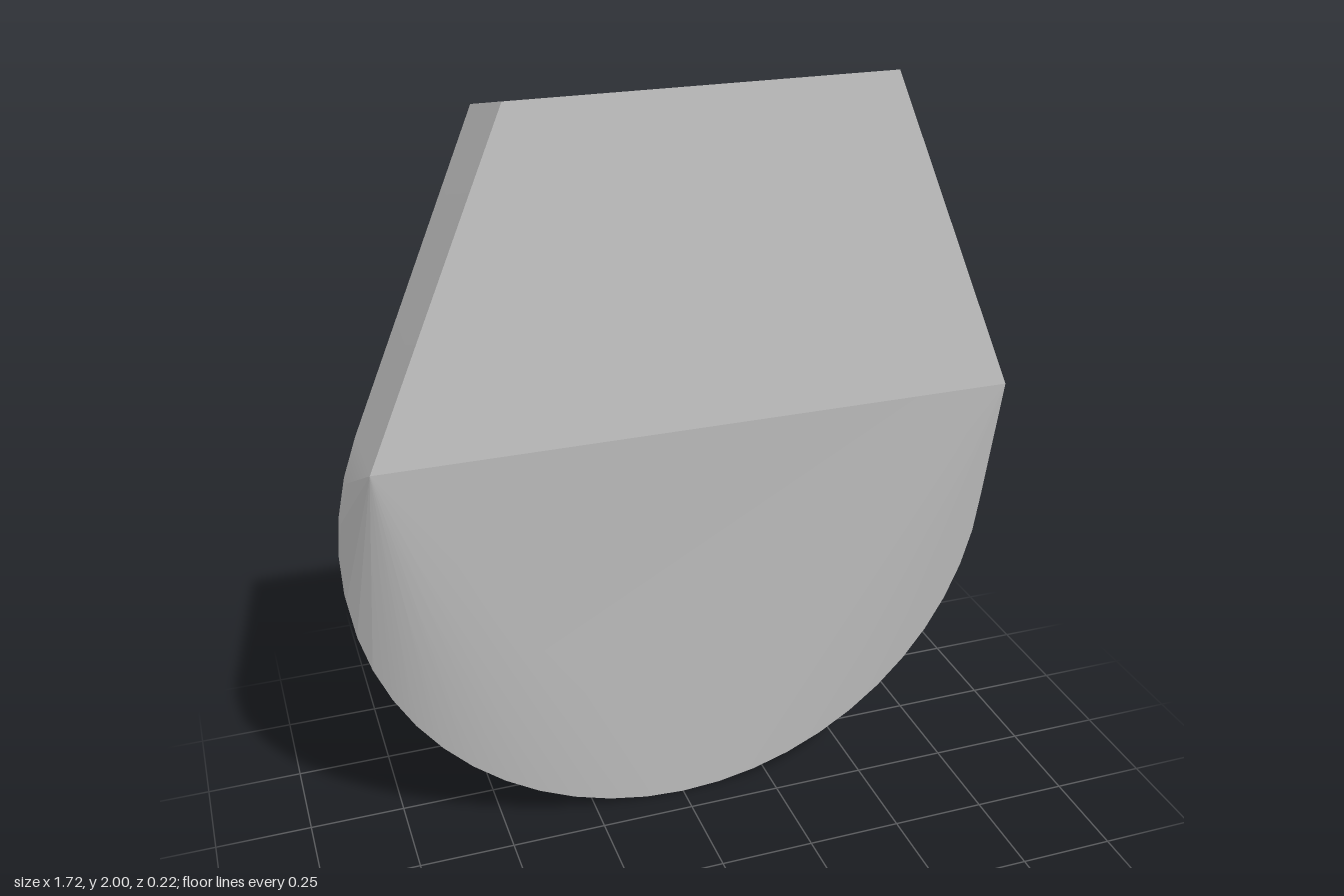
import * as THREE from 'three';
import { ConvexGeometry } from 'three/addons/geometries/ConvexGeometry.js';
import { toCreasedNormals } from 'three/addons/utils/BufferGeometryUtils.js';

const RADIUS = 0.86;
const FRONT = 0.108, RIM = -0.074, BACK = -0.108;
const ARC_STEPS = 32;

export function createModel() {
  const group = new THREE.Group();
  const grey = new THREE.MeshStandardMaterial({ color: 0xc8c8c8 });
  grey.name = 'plain grey';

  const points = [];
  const pair = (x, y, z) => points.push(new THREE.Vector3(x, y, z), new THREE.Vector3(-x, y, z));

  // Slanted top edge, lower at the back
  const tangent = THREE.MathUtils.degToRad(23.03);
  const sideX = RADIUS * Math.cos(tangent);
  const sideY = RADIUS + RADIUS * Math.sin(tangent);
  const taper = Math.tan(tangent);
  const widthAt = (y) => sideX - (y - sideY) * taper;
  pair(widthAt(2), 2, FRONT);
  pair(widthAt(1.947), 1.947, BACK);

  // Front corners where the bevelled lower face begins
  pair(sideX, sideY, FRONT);

  // Thin round rim, running between the two points where the straight sides touch it
  for (let i = 0; i <= ARC_STEPS; i++) {
    const a = tangent - (i / ARC_STEPS) * (Math.PI + 2 * tangent);
    for (const z of [RIM, BACK]) {
      points.push(new THREE.Vector3(RADIUS * Math.cos(a), RADIUS + RADIUS * Math.sin(a), z));
    }
  }

  // Solid skin around the outline, smooth only along the curved bevel
  const plate = new THREE.Mesh(toCreasedNormals(new ConvexGeometry(points), 0.14), grey);
  plate.name = 'bevelledPlate';
  group.add(plate);
  return group;
}
